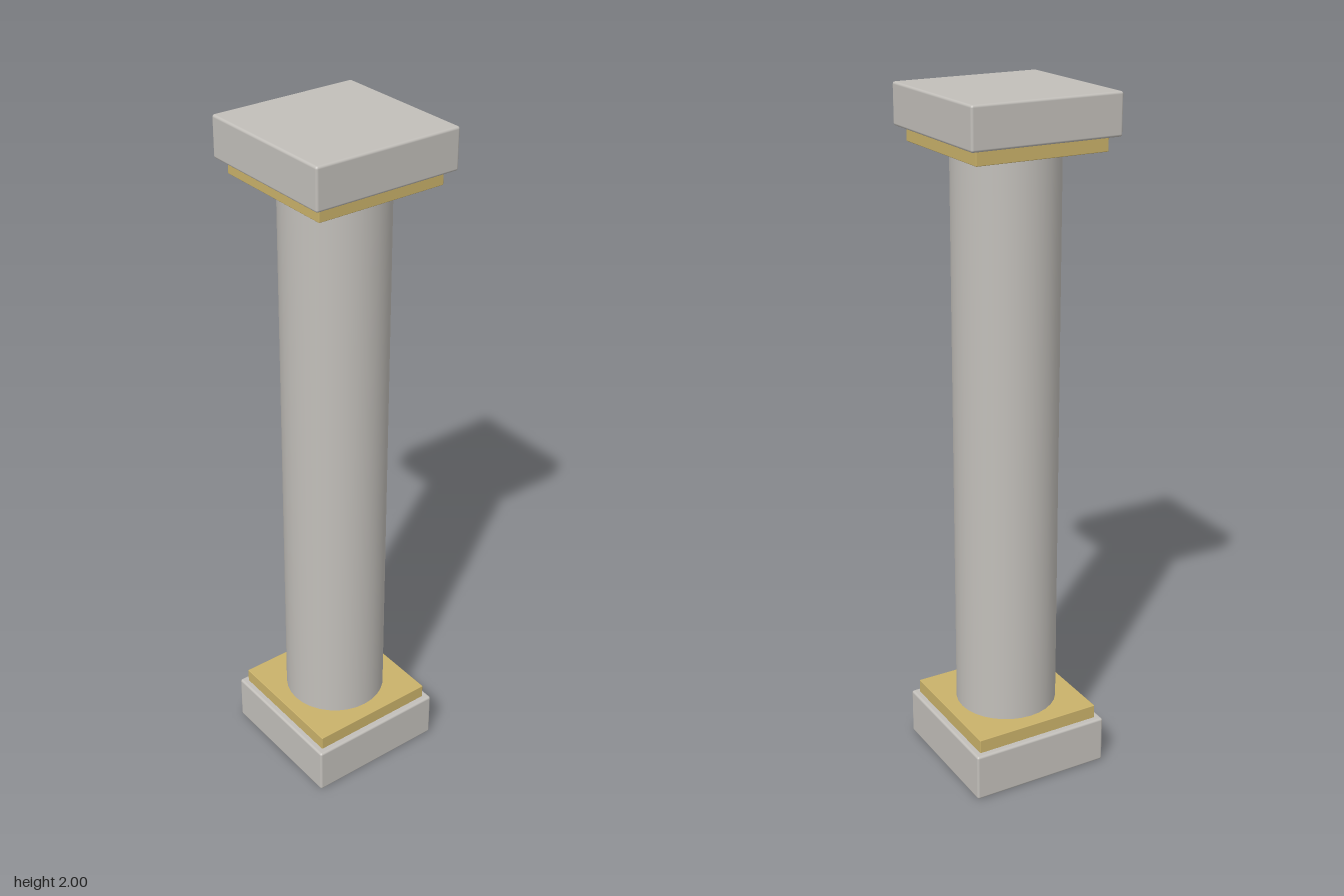
import * as THREE from 'three';
import { RoundedBoxGeometry } from 'three/addons/geometries/RoundedBoxGeometry.js';

export function createModel() {
  const group = new THREE.Group();
  const stone = new THREE.MeshStandardMaterial({ color: 0xc2bfba });
  stone.name = 'stone';
  const gold = new THREE.MeshStandardMaterial({ color: 0xcab26a });
  gold.name = 'gold';

  function add(name, geometry, material, y) {
    const mesh = new THREE.Mesh(geometry, material);
    mesh.name = name;
    mesh.position.y = y;
    group.add(mesh);
  }

  // Square slab with softened edges between two heights
  function slab(name, width, bottom, top, bevel, material) {
    const geometry = new RoundedBoxGeometry(width, top - bottom, width, 2, bevel);
    add(name, geometry, material, (bottom + top) / 2);
  }

  // Plinth and capital blocks
  slab('plinth', 0.428, 0, 0.143, 0.007, stone);
  slab('capital', 0.442, 1.884, 2, 0.007, stone);

  // Gilded trim plates, sunk slightly into the blocks
  slab('lowerTrim', 0.39, 0.135, 0.184, 0.002, gold);
  slab('upperTrim', 0.39, 1.844, 1.892, 0.002, gold);

  // Round shaft
  add('shaft', new THREE.CylinderGeometry(0.15, 0.15, 1.68, 32), stone, 1.014);

  return group;
}
